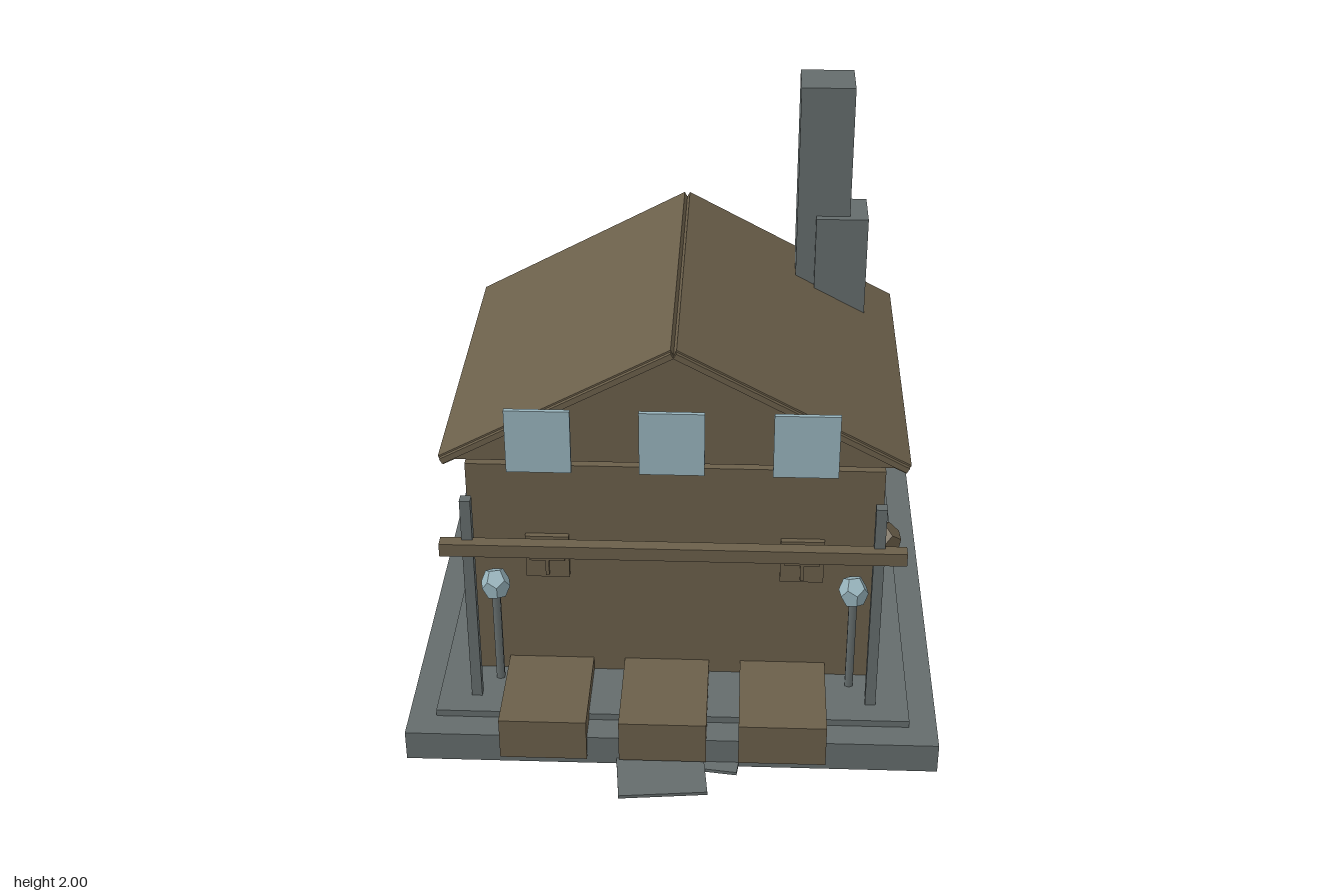
import * as THREE from 'three';

export function createModel() {
  const model = new THREE.Group();
  model.name = 'cabin';
  const mat = (name, color) => {
    const m = new THREE.MeshStandardMaterial({ color });
    m.name = name;
    return m;
  };
  const wood = mat('wood brown', 0x6b5f4a);
  const stone = mat('stone grey', 0x646c6c);
  const glass = mat('pale blue glass', 0x98b4bd);

  const add = (name, geo, material, x = 0, y = 0, z = 0) => {
    const mesh = new THREE.Mesh(geo, material);
    mesh.name = name;
    mesh.position.set(x, y, z);
    model.add(mesh);
    return mesh;
  };
  // Box given by its limits on each axis
  const box = (name, material, x0, x1, y0, y1, z0, z1) =>
    add(name, new THREE.BoxGeometry(x1 - x0, y1 - y0, z1 - z0), material,
      (x0 + x1) / 2, (y0 + y1) / 2, (z0 + z1) / 2);
  const rock = (name, material, r, x, y, z, rot = [0, 0, 0], scale = [1, 1, 1]) => {
    const m = add(name, new THREE.DodecahedronGeometry(r), material, x, y, z);
    m.rotation.set(...rot);
    m.scale.set(...scale);
    return m;
  };

  // Foundation and walls
  box('foundation', stone, -0.905, 0.905, 0.02, 0.13, -1, 0.81);
  box('terrace', stone, -0.81, 0.81, 0.13, 0.155, -0.905, 0.715);
  box('walls', wood, -0.7, 0.7, 0.155, 0.998, -0.645, 0.465);

  // Gable block under the roof
  const tri = new THREE.Shape([
    new THREE.Vector2(-0.725, 1.055), new THREE.Vector2(0.725, 1.055), new THREE.Vector2(0, 1.445),
  ]);
  add('gable', new THREE.ExtrudeGeometry(tri, { depth: 1.243, bevelEnabled: false }), wood, 0, 0, -0.713);

  // Roof slopes and front verge boards
  for (const s of [1, -1]) {
    const slope = add('roofSlope', new THREE.BoxGeometry(0.868, 0.035, 1.245), wood, s * 0.384, 1.255, -0.0925);
    slope.rotation.z = -s * 0.492;
    const verge = add('vergeBoard', new THREE.BoxGeometry(0.862, 0.02, 0.015), wood, s * 0.384, 1.257, 0.5375);
    verge.rotation.z = -s * 0.492;
  }

  // Chimney
  box('chimneyStack', stone, 0.405, 0.595, 1.04, 1.985, -0.645, -0.46);
  box('chimneyShoulder', stone, 0.473, 0.66, 0.98, 1.5, -0.62, -0.432);

  // Upper panes, and crates below them
  for (const x of [-0.435, -0.003, 0.43]) {
    box('upperPane', glass, x - 0.106, x + 0.106, 1.06, 1.288, 0.595, 0.61);
  }
  for (const x of [-0.433, -0.028, 0.377]) {
    box('crate', wood, x - 0.148, x + 0.148, 0.05, 0.205, 0.46, 0.826);
  }

  // Long beams at front and back
  box('frontBeam', wood, -0.77, 0.77, 0.757, 0.804, 0.615, 0.66);
  box('backBeam', wood, -0.77, 0.77, 0.757, 0.804, -0.845, -0.8);

  for (const s of [1, -1]) {
    // Porch posts
    box('porchPost', stone, s * 0.68 - 0.018, s * 0.68 + 0.018, 0.155, 0.955, 0.595, 0.63);
    // Lamps
    add('lampPost', new THREE.CylinderGeometry(0.016, 0.016, 0.36, 6), stone, s * 0.61, 0.335, 0.52);
    rock('lampGlobe', glass, 0.06, s * 0.61, 0.553, 0.52, [0.15, 0.2, 0], [0.85, 1.05, 0.9]);
    // Shuttered windows with a raised cross
    const x = s * 0.433, y = 0.644;
    box('windowBoard', wood, x - 0.074, x + 0.074, y - 0.082, y + 0.082, 0.465, 0.485);
    box('windowCrossUpright', wood, x - 0.006, x + 0.006, y - 0.066, y + 0.066, 0.485, 0.5);
    box('windowCrossBar', wood, x - 0.06, x + 0.06, y - 0.006, y + 0.006, 0.485, 0.5);
    // Small footings
    box('footing', stone, s * 0.67 - 0.015, s * 0.67 + 0.015, 0.013, 0.03, 0.41, 0.44);
  }

  // Stepping slabs at the front
  const slab1 = add('steppingSlab', new THREE.BoxGeometry(0.297, 0.012, 0.32), stone, -0.035, 0.037, 0.825);
  slab1.rotation.y = 0.1;
  const slab2 = add('steppingSlab', new THREE.BoxGeometry(0.29, 0.012, 0.3), stone, 0.1, 0.032, 0.695);
  slab2.rotation.y = -0.13;

  // Boulders beside the walls
  rock('leftBoulder', wood, 0.132, -0.705, 0.117, -0.56, [0.1, 0.2, 0.1]);
  rock('rightBoulder', wood, 0.125, 0.715, 0.112, -0.3, [0.2, 0.5, 0.1]);
  rock('rightSmallBoulder', wood, 0.075, 0.775, 0.18, -0.35, [0.1, 0.1, 0.3]);
  return model;
}
